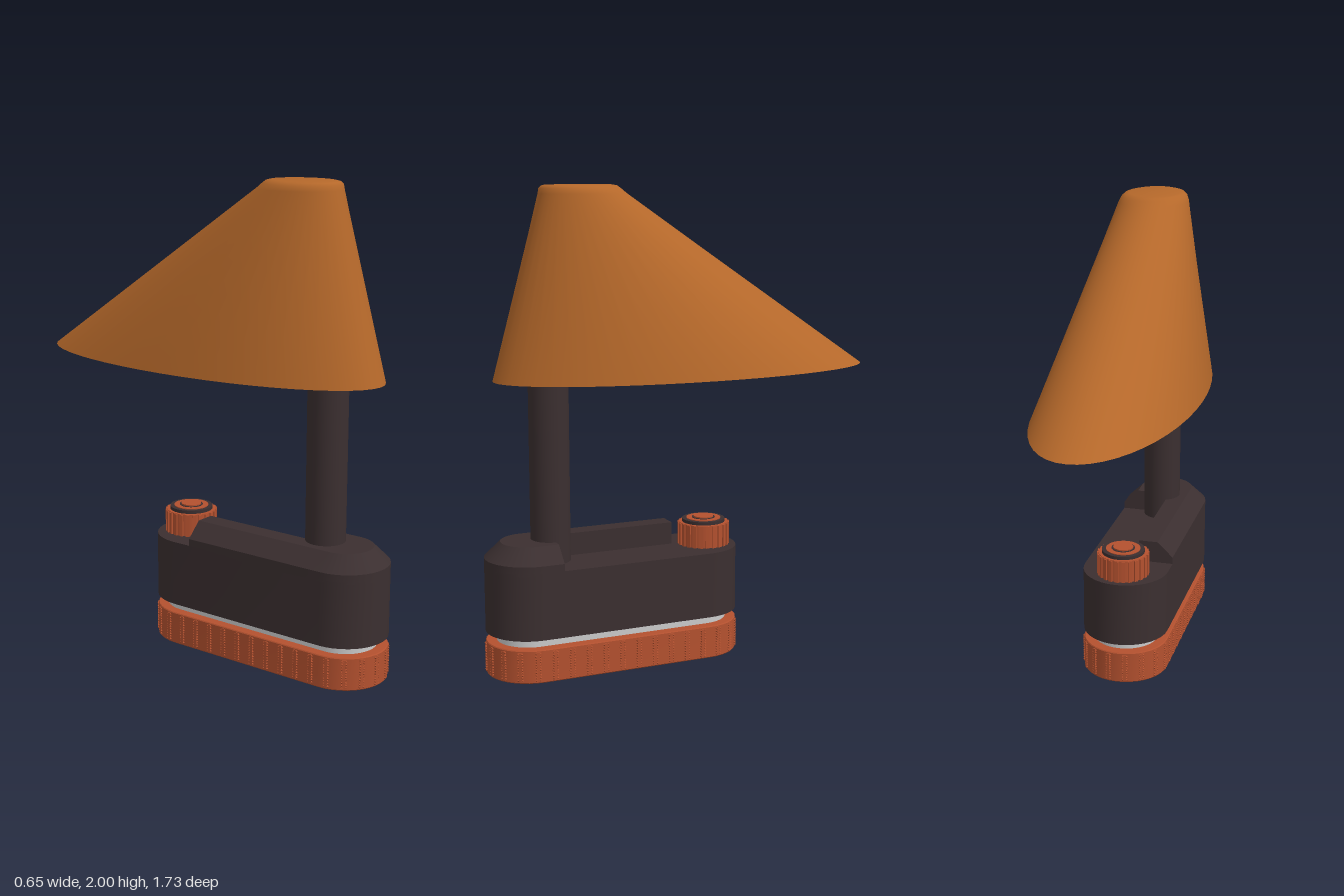
import * as THREE from 'three';
import { mergeGeometries, toCreasedNormals } from 'three/addons/utils/BufferGeometryUtils.js';

const mat = (color, side = THREE.FrontSide) => new THREE.MeshStandardMaterial({ color, side });
const CX = -0.015;            // centre line of the body
const Z_FRONT = 0.68, Z_BACK = -0.065; // centres of the rounded ends

// Skin between rings of equal point count, closed with a fan at both ends
function loft(rings, crease = 0.5) {
  const n = rings[0].length, pos = [], idx = [];
  rings.forEach(r => r.forEach(p => pos.push(...p)));
  for (let k = 0; k < rings.length - 1; k++) {
    for (let i = 0; i < n; i++) {
      const a = k * n + i, b = k * n + (i + 1) % n;
      idx.push(a, a + n, b, b, a + n, b + n);
    }
  }
  [0, rings.length - 1].forEach((k, end) => {
    const c = pos.length / 3;
    pos.push(...[0, 1, 2].map(j => rings[k].reduce((s, p) => s + p[j], 0) / n));
    for (let i = 0; i < n; i++) {
      const a = k * n + i, b = k * n + (i + 1) % n;
      end ? idx.push(c, b, a) : idx.push(c, a, b);
    }
  });
  const g = new THREE.BufferGeometry();
  g.setAttribute('position', new THREE.Float32BufferAttribute(pos, 3));
  g.setIndex(idx);
  return toCreasedNormals(g, crease);
}

function ellipse(cx, y, cz, rx, rz, n = 48) {
  return Array.from({ length: n }, (_, i) => {
    const a = i / n * Math.PI * 2;
    return [cx + rx * Math.cos(a), y, cz + rz * Math.sin(a)];
  });
}

// Outline with a round front and either a round or a flat back
function stadium(r, y, flatBack = null, n = 18) {
  const pts = [];
  for (let i = 0; i <= n; i++) {
    const a = i / n * Math.PI;
    pts.push([CX + r * Math.cos(a), y, Z_FRONT + r * Math.sin(a)]);
  }
  if (flatBack !== null) {
    pts.push([CX - r, y, flatBack], [CX + r, y, flatBack]);
  } else {
    for (let i = 0; i <= n; i++) {
      const a = Math.PI + i / n * Math.PI;
      pts.push([CX + r * Math.cos(a), y, Z_BACK + r * Math.sin(a)]);
    }
  }
  return pts;
}

// Point and heading at distance s along the stadium perimeter
function alongStadium(s, r) {
  const len = Z_FRONT - Z_BACK, arc = Math.PI * r;
  if (s < len) return [CX + r, Z_BACK + s, 0];
  s -= len;
  if (s < arc) return [CX + r * Math.cos(s / r), Z_FRONT + r * Math.sin(s / r), s / r];
  s -= arc;
  if (s < len) return [CX - r, Z_FRONT - s, Math.PI];
  const a = Math.PI + (s - len) / r;
  return [CX + r * Math.cos(a), Z_BACK + r * Math.sin(a), a];
}

export function createModel() {
  const model = new THREE.Group();
  const dark = mat(0x3b2f30), red = mat(0xb4512f), grey = mat(0xcccccc);
  const orange = mat(0xb5682a, THREE.DoubleSide);
  const add = (name, geometry, material, parent = model) => {
    const m = new THREE.Mesh(geometry, material);
    m.name = name;
    parent.add(m);
    return m;
  };

  // Base with gripping ribs and beads
  const base = new THREE.Group();
  base.name = 'base';
  model.add(base);
  add('basePlate', loft([stadium(0.181, 0), stadium(0.184, 0.004), stadium(0.184, 0.136),
    stadium(0.181, 0.14)]), red, base);
  const ribs = [], beads = [], R = 0.185;
  const perimeter = 2 * (Z_FRONT - Z_BACK) + 2 * Math.PI * R, count = 36;
  for (let i = 0; i < count; i++) {
    const s = (i + 0.5) / count * perimeter;
    const [x, z, a] = alongStadium(s, R);
    ribs.push(new THREE.BoxGeometry(0.006, 0.124, 0.014).rotateY(-a).translate(x, 0.07, z));
    for (const side of [-0.008, 0.008]) {
      const [bx, bz] = alongStadium(s + side, R);
      for (let k = 0; k < 11; k++) {
        beads.push(new THREE.OctahedronGeometry(0.006).translate(bx, 0.014 + k * 0.0112, bz));
      }
    }
  }
  add('baseRibs', mergeGeometries(ribs), red, base);
  add('baseBeads', mergeGeometries(beads), red, base);

  // Recessed band between base and body
  add('band', loft([stadium(0.14, 0.135), stadium(0.14, 0.185)]), grey);

  // Body, its raised front and the ridge along the right side
  add('body', loft([stadium(0.185, 0.18), stadium(0.185, 0.46)]), dark);
  add('raisedFront', loft([stadium(0.185, 0.45, 0.59), stadium(0.185, 0.49, 0.59),
    stadium(0.118, 0.555, 0.59)]), dark);
  const section = [[-0.2, 0.45], [-0.05, 0.45], [-0.05, 0.555], [-0.133, 0.555], [-0.2, 0.49]];
  const ridge = new THREE.ExtrudeGeometry(new THREE.Shape(section.map(p => new THREE.Vector2(...p))),
    { depth: 0.575, bevelEnabled: false });
  add('ridge', ridge, dark).position.z = 0.02;

  // Pole
  add('pole', new THREE.CylinderGeometry(0.083, 0.083, 0.95, 32), dark).position.set(CX, 0.925, 0.585);

  // Ribbed knob
  const knob = new THREE.Group();
  knob.name = 'knob';
  knob.position.set(CX, 0.45, -0.115);
  model.add(knob);
  const disc = (name, r, y0, y1, m) =>
    add(name, new THREE.CylinderGeometry(r, r, y1 - y0, 36), m, knob).position.y = (y0 + y1) / 2;
  disc('knobBody', 0.106, 0, 0.107, red);
  disc('knobRing', 0.092, 0.1, 0.121, dark);
  disc('knobInlay', 0.074, 0.1, 0.124, red);
  disc('knobGroove', 0.05, 0.1, 0.126, dark);
  disc('knobButton', 0.043, 0.1, 0.131, red);
  const knobRibs = [];
  for (let i = 0; i < 24; i++) {
    knobRibs.push(new THREE.BoxGeometry(0.012, 0.104, 0.016).translate(0.106, 0.053, 0)
      .rotateY(i / 24 * Math.PI * 2));
  }
  add('knobRibs', mergeGeometries(knobRibs), red, knob);

  // Slanted hollow shade: inside from the top down, then outside back up
  add('shade', loft([
    ellipse(-0.005, 1.97, 0.44, 0.12, 0.14),
    ellipse(0, 1.22, -0.02, 0.307, 0.815),
    ellipse(0, 1.22, -0.02, 0.326, 0.838),
    ellipse(-0.005, 1.965, 0.43, 0.148, 0.183),
    ellipse(-0.005, 1.985, 0.441, 0.139, 0.169),
    ellipse(-0.005, 1.996, 0.444, 0.126, 0.157),
    ellipse(-0.005, 2, 0.445, 0.108, 0.14),
  ], 0.9), orange);

  return model;
}
